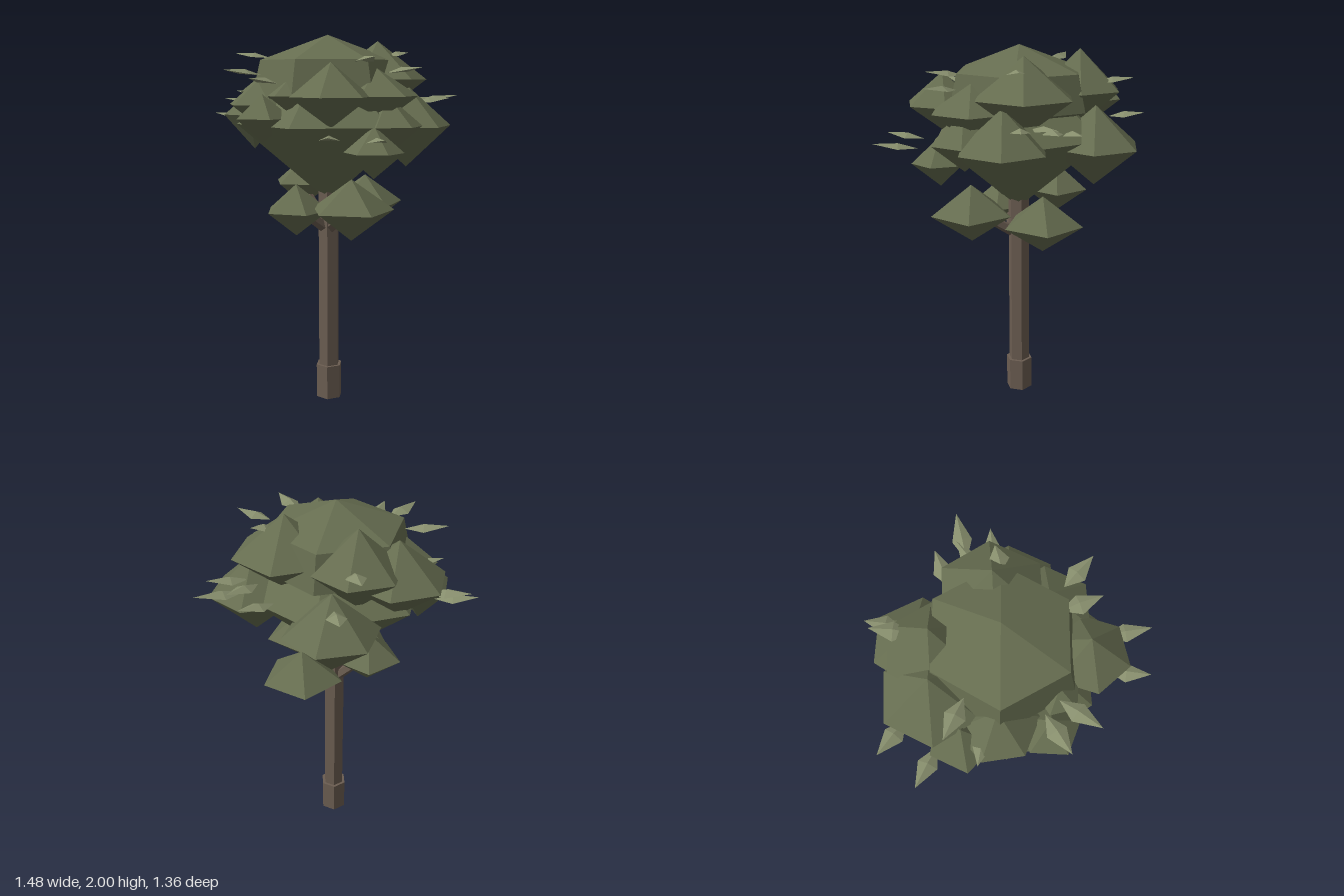
import * as THREE from 'three';

const mat = (color, side = THREE.FrontSide) =>
  new THREE.MeshStandardMaterial({ color, flatShading: true, side });

export function createModel() {
  const tree = new THREE.Group();
  tree.name = 'tree';
  const bark = mat(0x6b5d51);
  const foliage = mat(0x666d50);
  const leafMat = mat(0x868d6c, THREE.DoubleSide);
  const axisZ = 0.066;

  const add = (name, geometry, material, x = 0, y = 0, z = 0) => {
    const mesh = new THREE.Mesh(geometry, material);
    mesh.name = name;
    mesh.position.set(x, y, z);
    tree.add(mesh);
    return mesh;
  };

  // Faceted solid from a radius/height profile
  const faceted = (name, profile, sides, turn, x, y, z) => {
    const points = profile.map(p => new THREE.Vector2(...p));
    add(name, new THREE.LatheGeometry(points, sides), foliage, x, y, z).rotation.y = turn;
  };

  // Leaf clump: pyramids above and below a shared ring
  const clump = (name, x, y, z, r, up, down, turn, sides) =>
    faceted(name, [[0, -down], [r, 0], [0, up]], sides, turn, x, y, z);

  // Trunk and its thicker foot
  add('trunkBase', new THREE.CylinderGeometry(0.075, 0.075, 0.19, 6), bark, 0, 0.095, axisZ).rotation.y = -0.26;
  add('trunk', new THREE.CylinderGeometry(0.059, 0.059, 1.15, 6), bark, 0, 0.72, axisZ).rotation.y = -0.26;

  // Short branches reaching into the low foliage
  const branch = (x, y, z) => {
    const start = new THREE.Vector3(0, 0.96, axisZ);
    const dir = new THREE.Vector3(x, y, z).sub(start);
    const mid = start.clone().addScaledVector(dir, 0.5);
    const mesh = add('branch', new THREE.CylinderGeometry(0.022, 0.034, dir.length(), 5), bark, ...mid);
    mesh.quaternion.setFromUnitVectors(new THREE.Vector3(0, 1, 0), dir.normalize());
  };
  branch(0.22, 1.1, 0.11);
  branch(-0.2, 1.16, 0.08);
  branch(0, 1.1, 0.27);
  branch(0, 1.09, -0.17);

  // Central crown: double cone with a steep-sided cap
  const hexTurn = Math.PI / 6;
  faceted('crownBody', [[0, 1.12], [0.485, 1.54], [0, 1.95]], 6, hexTurn, 0, 0, axisZ);
  faceted('crownCap', [[0, 1.55], [0.4, 1.68], [0.355, 1.87], [0, 2]], 6, hexTurn - 0.06, -0.005, 0, axisZ);

  // Low clumps around the trunk: x, y, z, radius, height up, depth down, turn, sides
  [
    [0.265, 1.11, 0.12, 0.225, 0.16, 0.16, 0.1, 5],
    [-0.24, 1.2, 0.06, 0.175, 0.14, 0.135, 0.1, 5],
    [0, 1.09, 0.28, 0.175, 0.14, 0.135, 0, 5],
    [0, 1.09, -0.19, 0.215, 0.155, 0.15, 0.2, 5],
  ].forEach(c => clump('lowClump', ...c));

  // Clumps around the crown
  [
    [-0.39, 1.7, 0.08, 0.25, 0.2, 0.2, hexTurn, 6],
    [-0.28, 1.77, -0.09, 0.23, 0.21, 0.2, 0.5, 6],
    [0.11, 1.77, -0.18, 0.27, 0.2, 0.2, hexTurn, 6],
    [-0.27, 1.5, -0.26, 0.245, 0.21, 0.21, hexTurn - 0.1, 6],
    [0.27, 1.53, -0.25, 0.24, 0.21, 0.22, hexTurn, 6],
    [0.37, 1.54, -0.03, 0.18, 0.15, 0.15, hexTurn, 6],
    [0.44, 1.42, 0.12, 0.15, 0.13, 0.13, 0.3, 6],
    [0.33, 1.69, 0.3, 0.205, 0.165, 0.15, hexTurn + 0.15, 6],
    [0, 1.58, 0.48, 0.15, 0.12, 0.12, 0, 5],
    [-0.2, 1.64, 0.34, 0.2, 0.16, 0.14, 0.1, 6],
    [-0.37, 1.58, 0.3, 0.165, 0.14, 0.19, -0.4, 5],
    [0.1, 1.69, 0.39, 0.11, 0.08, 0.08, 0.3, 5],
    [0.31, 1.69, 0, 0.22, 0.14, 0.16, hexTurn, 6],
  ].forEach(c => clump('crownClump', ...c));

  // Pointed leaf with a raised midrib, lying along +z with its tip at the origin
  const leafGeo = new THREE.BufferGeometry();
  leafGeo.setAttribute('position', new THREE.Float32BufferAttribute([
    0, 0, 0, 0.05, -0.012, -0.13, 0, 0.012, -0.13, -0.05, -0.012, -0.13, 0, -0.01, -0.23,
  ], 3));
  leafGeo.setIndex([0, 1, 2, 0, 2, 3, 2, 1, 4, 3, 2, 4]);
  leafGeo.computeVertexNormals();

  // Loose leaves: tip x, y, z, base x, z
  [
    [0.74, 1.51, 0.31, 0.52, 0.21],
    [0.59, 1.83, -0.05, 0.39, 0],
    [0.58, 1.52, 0.51, 0.42, 0.37],
    [0.15, 1.78, 0.65, 0.07, 0.43],
    [-0.04, 1.82, 0.68, -0.03, 0.46],
    [-0.39, 1.67, 0.47, -0.25, 0.32],
    [-0.67, 1.58, 0.38, -0.48, 0.26],
    [-0.74, 1.7, 0.19, -0.54, 0.11],
    [-0.48, 1.91, 0.35, -0.3, 0.23],
    [0.22, 1.68, -0.68, 0.13, -0.44],
    [0.03, 1.64, -0.58, -0.01, -0.38],
    [0.32, 1.67, -0.52, 0.22, -0.33],
    [0.14, 1.67, -0.55, 0.15, -0.33],
    [-0.46, 1.68, -0.42, -0.32, -0.3],
    [-0.48, 1.84, -0.3, -0.32, -0.18],
    [0.49, 1.88, 0.16, 0.29, 0.11],
    [0.21, 1.91, -0.31, 0.17, -0.19],
  ].forEach(([x, y, z, bx, bz]) => {
    const leaf = add('leaf', leafGeo, leafMat, x, y, z);
    leaf.rotation.set(-0.08, Math.atan2(x - bx, z - bz), 0, 'YXZ');
    leaf.scale.z = Math.hypot(x - bx, z - bz) / 0.23;
  });

  return tree;
}
